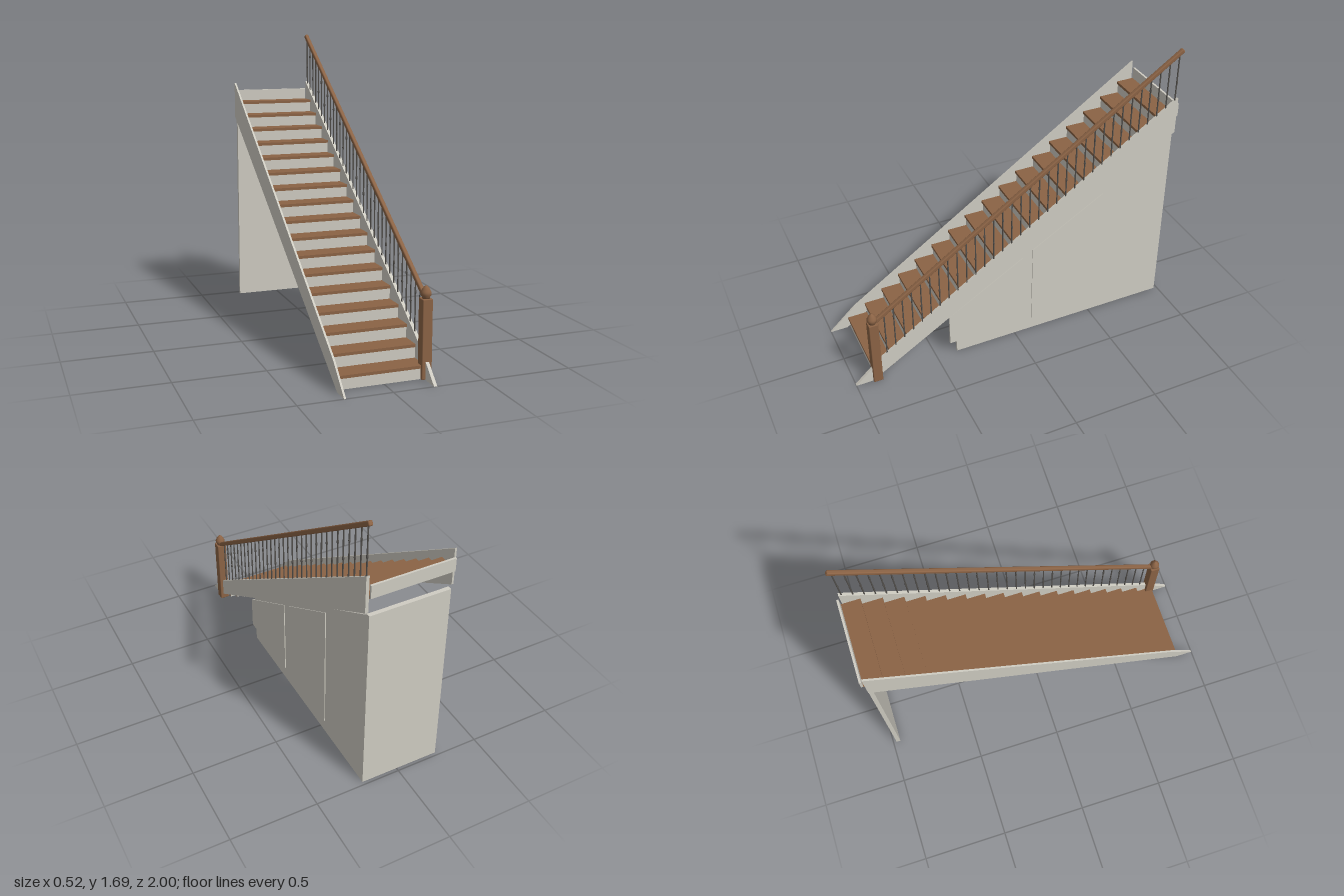
import * as THREE from 'three';
import { RoundedBoxGeometry } from 'three/addons/geometries/RoundedBoxGeometry.js';

export function createModel() {
  const model = new THREE.Group();
  const mat = (name, color, side = THREE.FrontSide) => {
    const m = new THREE.MeshStandardMaterial({ color, side });
    m.name = name;
    return m;
  };
  const paint = mat('greyPaint', 0xcfccc2);
  const wood = mat('brownWood', 0x8b6345);
  const iron = mat('darkIron', 0x55524e);

  const add = (name, geometry, material, x = 0, y = 0, z = 0, parent = model) => {
    const mesh = new THREE.Mesh(geometry, material);
    mesh.name = name;
    mesh.position.set(x, y, z);
    parent.add(mesh);
    return mesh;
  };
  // Box given by its limits
  const block = (name, material, x0, x1, y0, y1, z0, z1, parent) =>
    add(name, new THREE.BoxGeometry(x1 - x0, y1 - y0, z1 - z0), material,
      (x0 + x1) / 2, (y0 + y1) / 2, (z0 + z1) / 2, parent);
  // Side profile of [z, y] points, extruded from x0 to x1
  const profile = (name, points, x0, x1) => {
    const shape = new THREE.Shape(points.map(([z, y]) => new THREE.Vector2(z, y)));
    const g = new THREE.ExtrudeGeometry(shape, { depth: x1 - x0, bevelEnabled: false });
    g.rotateY(-Math.PI / 2);
    return add(name, g, paint, x1);
  };

  // Treads and risers
  const count = 17, rise = 0.0752, going = 0.1106, firstNose = 0.888;
  const steps = new THREE.Group();
  steps.name = 'steps';
  model.add(steps);
  for (let i = 0; i <= count; i++) {
    const nose = firstNose - i * going;
    const top = (i + 1) * rise;
    const front = Math.max(nose - 0.008, -0.988);
    block('riser', paint, -0.25, 0.221, i * rise - (i ? 0.01 : 0), i < count ? top - 0.015 : 1.345,
      front - 0.012, front, steps);
    if (i < count) {
      block('tread', wood, -0.25, 0.221, top - 0.016, top, Math.max(nose - going - 0.008, -0.988), nose, steps);
    }
  }

  // Tapered stringers on both sides
  const slope = 0.683;
  const stringerTop = z => 0.145 + slope * (0.845 - z);
  const outline = [[1, 0], [0.9, 0], [0.84, 0.038], [-0.98, 1.175], [-0.98, stringerTop(-0.98)], [0.845, 0.145]];
  profile('leftStringer', outline, 0.22, 0.238);
  profile('rightStringer', outline, -0.26, -0.249);

  // Cupboard walls below the flight
  const wallTop = z => 0.337 + 0.605 * (0.372 - z);
  profile('sideWall', [[0.372, 0], [0.372, wallTop(0.372)], [-0.956, wallTop(-0.956)], [-0.956, 0]], 0.193, 0.214);
  block('backWall', paint, -0.25, 0.214, 0, 1.147, -0.98, -0.956);

  // Two sloping cupboard doors
  for (const [z0, z1] of [[0.415, -0.05], [-0.11, -0.55]]) {
    const doorTop = z => wallTop(z) - 0.032;
    profile('cupboardDoor', [[z0, 0.08], [z0, doorTop(z0)], [z1, doorTop(z1)], [z1, 0.08]], 0.206, 0.219);
  }

  // Newel post with pointed cap
  const railX = 0.228;
  const newel = new THREE.Group();
  newel.name = 'newelPost';
  newel.position.set(railX, 0, 0.872);
  model.add(newel);
  add('post', new RoundedBoxGeometry(0.055, 0.422, 0.055, 1, 0.004), wood, 0, 0.211, 0, newel);
  const cap = [[0, 0.42], [0.02, 0.42], [0.021, 0.43], [0.028, 0.44], [0.028, 0.453],
    [0.024, 0.46], [0.019, 0.472], [0.01, 0.483], [0, 0.49]].map(p => new THREE.Vector2(...p));
  add('cap', new THREE.LatheGeometry(cap, 20), wood, 0, 0, 0, newel);

  // Sloping handrail
  const railY = z => 0.433 + slope * (0.85 - z);
  const zA = 0.855, zB = -0.985;
  const length = Math.hypot(zA - zB, railY(zB) - railY(zA));
  const rail = add('handrail', new RoundedBoxGeometry(0.024, 0.026, length, 2, 0.007), wood,
    railX, railY((zA + zB) / 2), (zA + zB) / 2);
  rail.rotation.x = Math.atan(slope);

  // Slim balusters with alternating knuckles
  const balusters = new THREE.Group();
  balusters.name = 'balusters';
  model.add(balusters);
  for (let i = 0; i < 33; i++) {
    const z = 0.802 - i * 0.0552;
    const y0 = stringerTop(z) - 0.01, y1 = railY(z);
    add('baluster', new THREE.CylinderGeometry(0.004, 0.004, y1 - y0, 8), iron, railX, (y0 + y1) / 2, z, balusters);
    const knuckle = add('knuckle', new THREE.SphereGeometry(0.006, 8, 6), iron,
      railX, y0 + (i % 2 ? 0.22 : 0.12), z, balusters);
    knuckle.scale.y = 2.5;
  }
  return model;
}
